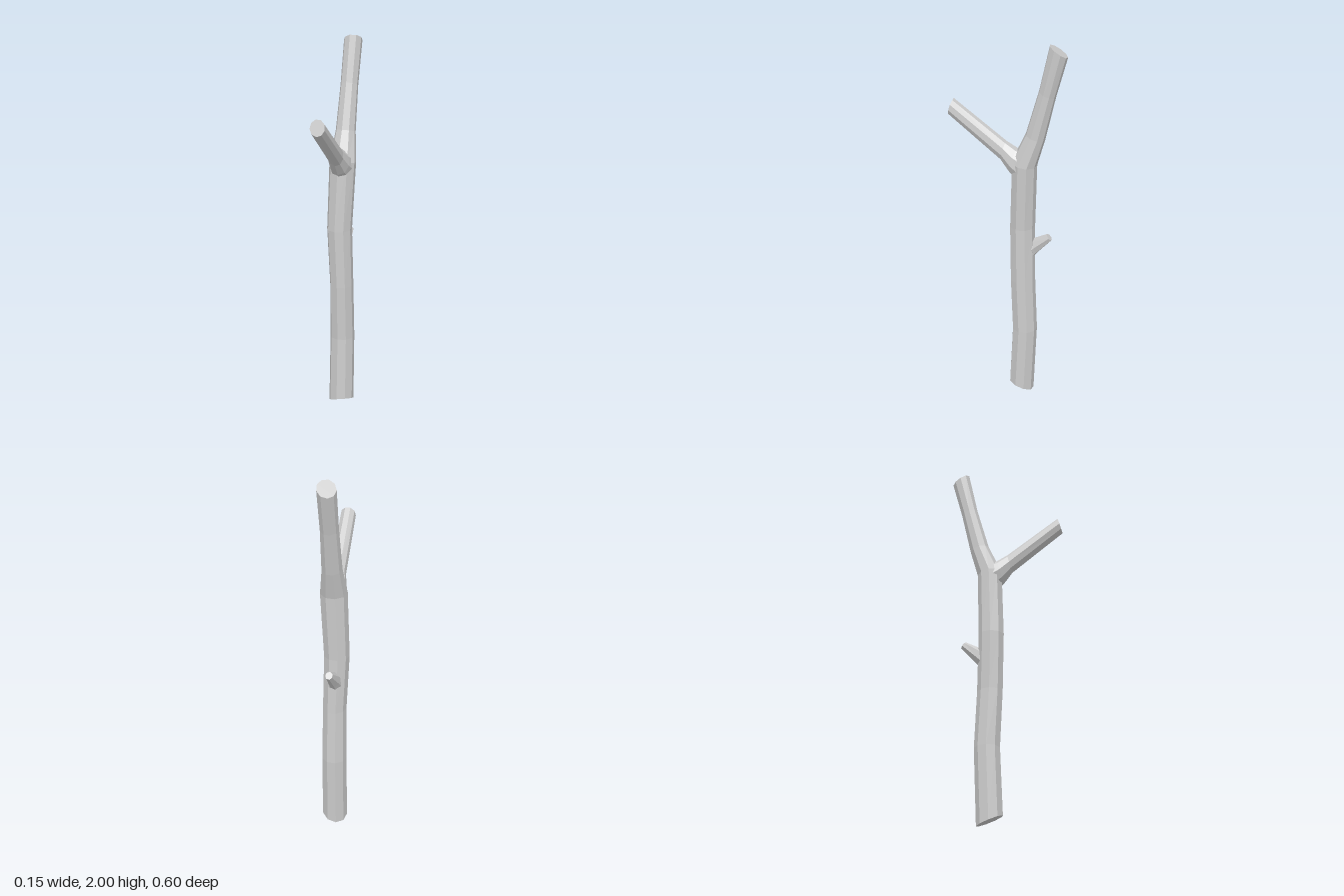
import * as THREE from 'three';

const material = new THREE.MeshStandardMaterial({ color: 0xcccccc, flatShading: true });

// Skins a list of elliptical rings and caps both ends.
// Ring: [x, y, z, halfWidth, sideRise, depthY, depthZ]
// where (halfWidth, sideRise, 0) and (0, depthY, depthZ) are the ellipse axes.
function limb(name, rings, sides, phase = 0) {
  const pos = [], index = [];
  for (const [x, y, z, w, rise, dy, dz] of rings) {
    for (let i = 0; i < sides; i++) {
      const a = phase + (i / sides) * Math.PI * 2;
      const c = Math.cos(a), s = Math.sin(a);
      pos.push(x + w * c, y + rise * c + dy * s, z + dz * s);
    }
  }
  for (let r = 0; r < rings.length - 1; r++) {
    for (let i = 0; i < sides; i++) {
      const a = r * sides + i, b = r * sides + (i + 1) % sides;
      index.push(a, a + sides, b, b, a + sides, b + sides);
    }
  }
  const last = (rings.length - 1) * sides;
  for (let i = 1; i < sides - 1; i++) {
    index.push(0, i, i + 1, last, last + i + 1, last + i);
  }
  const geo = new THREE.BufferGeometry();
  geo.setAttribute('position', new THREE.Float32BufferAttribute(pos, 3));
  geo.setIndex(index);
  const flat = geo.toNonIndexed();
  flat.computeVertexNormals();
  const mesh = new THREE.Mesh(flat, material);
  mesh.name = name;
  return mesh;
}

export function createModel() {
  const group = new THREE.Group();
  group.name = 'forkedBranch';

  // Crooked main stem with a slanted cut at each end
  group.add(limb('mainStem', [
    [0.00, 0.03, -0.085, 0.067, 0.014, 0.025, 0.066],
    [0.00, 0.40, -0.10, 0.065, 0, 0, 0.066],
    [0.00, 0.70, -0.087, 0.062, 0, 0, 0.066],
    [-0.01, 1.01, -0.08, 0.066, 0, 0, 0.066],
    [0.003, 1.37, -0.092, 0.070, 0, 0.01, 0.064],
    [0.00, 1.52, -0.147, 0.052, 0, 0.014, 0.049],
    [0.00, 1.75, -0.204, 0.046, 0, 0.015, 0.042],
    [0.002, 1.97, -0.256, 0.048, 0.008, 0.029, 0.044],
  ], 9, 0.25));

  // Front fork, flared where it leaves the stem
  group.add(limb('frontFork', [
    [0.003, 1.355, -0.075, 0.062, 0, -0.075, 0.02],
    [0.003, 1.38, -0.035, 0.055, 0, -0.063, 0.018],
    [0.003, 1.425, 0.015, 0.041, 0, -0.050, 0.012],
    [0.004, 1.63, 0.287, 0.039, 0, -0.041, 0.012],
  ], 9, 0.2));

  // Short snapped twig at the back
  group.add(limb('backTwig', [
    [-0.01, 0.87, -0.115, 0.040, 0, 0.045, 0.02],
    [-0.008, 0.902, -0.15, 0.032, 0, 0.038, 0.015],
    [0.00, 0.968, -0.227, 0.019, 0, 0.016, 0.013],
  ], 7));

  return group;
}
